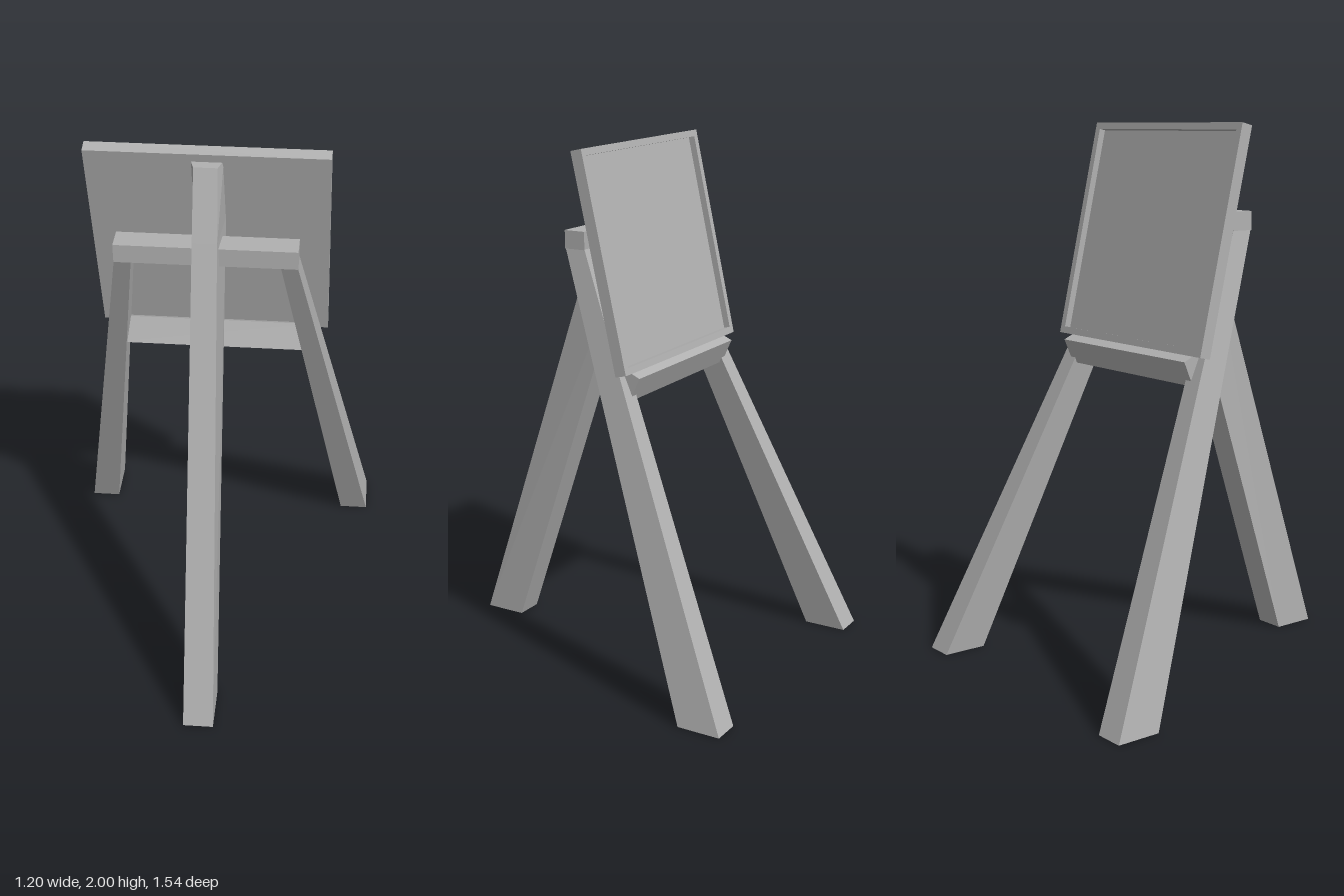
import * as THREE from 'three';

const grey = new THREE.MeshStandardMaterial({ color: 0xb0b0b0 });
grey.name = 'grey';

function part(name, geometry, parent) {
  const mesh = new THREE.Mesh(geometry, grey);
  mesh.name = name;
  parent.add(mesh);
  return mesh;
}

// One four-cornered section of a beam, counter-clockwise seen from above
const section = (y, frontL, frontR, front, backL, backR, back) => [
  [frontL, y, front], [frontR, y, front], [backR, y, back], [backL, y, back],
];

// Flat-sided beam through a stack of sections, capped at both ends
function beam(sections) {
  const points = [];
  const quad = (a, b, c, d) => points.push(...a, ...b, ...c, ...a, ...c, ...d);
  for (let i = 0; i < sections.length - 1; i++) {
    const low = sections[i], high = sections[i + 1];
    for (let j = 0; j < 4; j++) {
      const k = (j + 1) % 4;
      quad(low[j], low[k], high[k], high[j]);
    }
  }
  const [a, b, c, d] = sections[0];
  quad(d, c, b, a);
  quad(...sections[sections.length - 1]);
  const geometry = new THREE.BufferGeometry();
  geometry.setAttribute('position', new THREE.Float32BufferAttribute(points, 3));
  geometry.computeVertexNormals();
  return geometry;
}

function rectangle(target, w, h) {
  target.moveTo(-w / 2, -h / 2);
  target.lineTo(w / 2, -h / 2);
  target.lineTo(w / 2, h / 2);
  target.lineTo(-w / 2, h / 2);
  target.closePath();
  return target;
}

export function createModel() {
  const model = new THREE.Group();
  model.name = 'easel';

  // The whole easel stands turned about the vertical axis
  const stand = new THREE.Group();
  stand.name = 'stand';
  stand.rotation.y = -0.428;
  stand.position.set(-0.144, 0, -0.066);
  model.add(stand);

  // Tall single leg, its upper end cut to lie against the board
  part('propLeg', beam([
    section(0, -0.055, 0.055, 0.892, -0.055, 0.055, 0.726),
    section(1.72, -0.042, 0.042, 0.314, -0.055, 0.055, 0.138),
    section(1.96, -0.04, 0.04, 0.234, -0.055, 0.055, 0.184),
  ]), stand);

  // Pair of splayed, tapered legs
  for (const side of [-1, 1]) {
    const legSection = (y, inner, outer, front, back) => {
      const [l, r] = [side * inner, side * outer].sort((a, b) => a - b);
      return section(y, l, r, front, l, r, back);
    };
    part(side > 0 ? 'leftLeg' : 'rightLeg', beam([
      legSection(0, 0.48, 0.588, -0.34, -0.508),
      legSection(1.63, 0.251, 0.308, 0.298, 0.217),
    ]), stand);
  }

  // Crossbar joining the leg tops
  part('crossbar', new THREE.BoxGeometry(0.618, 0.067, 0.084), stand)
    .position.set(0, 1.659, 0.258);

  // Tilted ledge below the board
  const ledge = part('ledge', new THREE.BoxGeometry(0.7, 0.098, 0.098), stand);
  ledge.position.set(0, 1.165, 0.025);
  ledge.rotation.x = -0.418;

  // Leaning board: raised rim around a recessed panel
  const board = new THREE.Group();
  board.name = 'board';
  board.position.set(0, 1.6, 0.0925);
  board.rotation.x = 0.222;
  stand.add(board);

  const rim = rectangle(new THREE.Shape(), 0.815, 0.81);
  rim.holes.push(rectangle(new THREE.Path(), 0.765, 0.76));
  part('rim', new THREE.ExtrudeGeometry(rim, { depth: 0.045, bevelEnabled: false }), board)
    .position.z = -0.0225;
  part('panel', new THREE.BoxGeometry(0.765, 0.76, 0.02), board)
    .position.z = 0.0125;

  return model;
}
